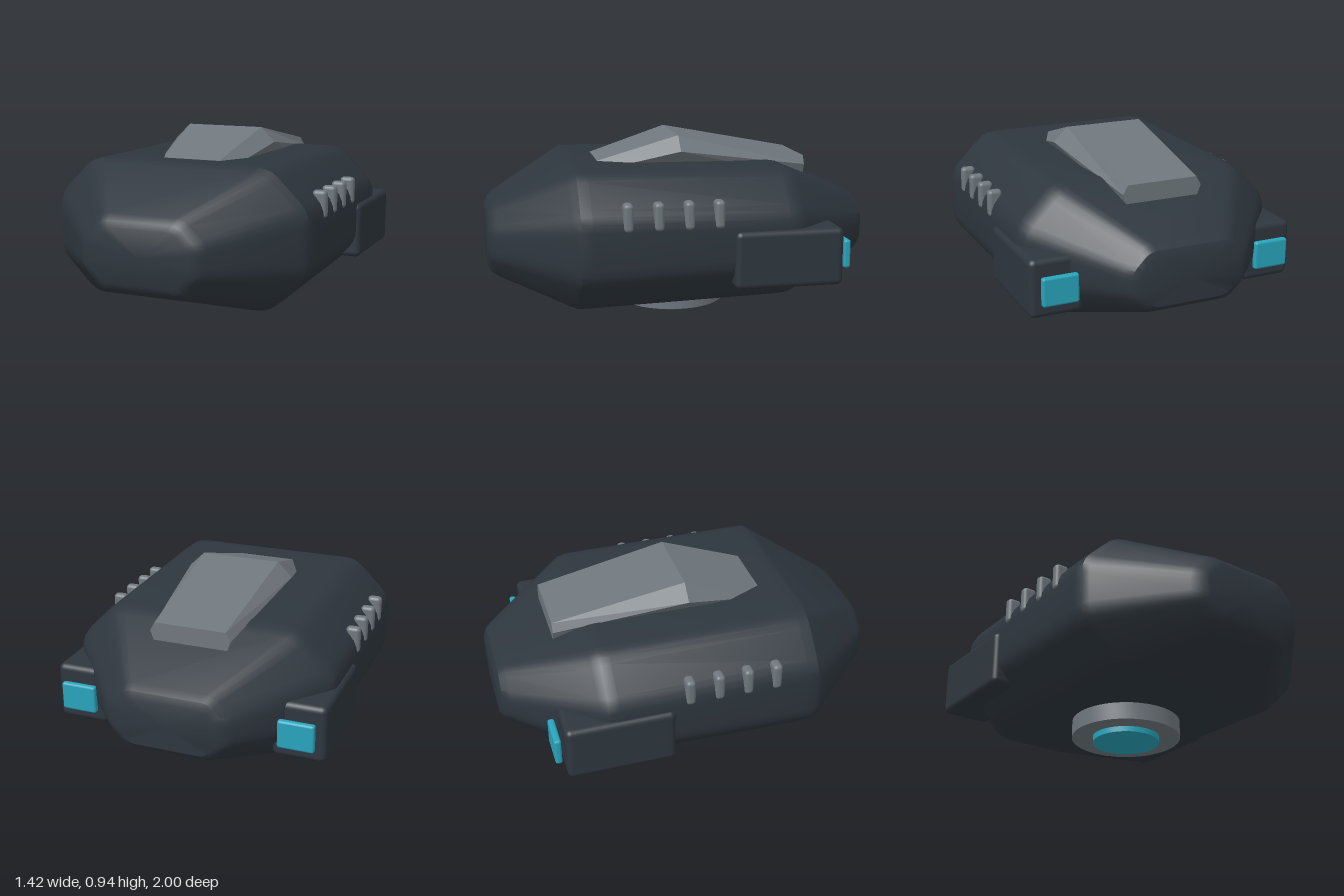
import * as THREE from 'three';
import { toCreasedNormals } from 'three/addons/utils/BufferGeometryUtils.js';
import { RoundedBoxGeometry } from 'three/addons/geometries/RoundedBoxGeometry.js';

// Skin a list of closed sections {z, pts} running from front to back, capped at both ends.
// Points run counter-clockwise as seen from the front.
function loft(sections) {
  const pos = [], idx = [], n = sections[0].pts.length;
  for (const s of sections) for (const [x, y] of s.pts) pos.push(x, y, s.z);
  for (let i = 0; i < sections.length - 1; i++) {
    for (let j = 0; j < n; j++) {
      const k = (j + 1) % n, a = i * n + j, b = i * n + k;
      idx.push(a, a + n, b, b, a + n, b + n);
    }
  }
  [0, sections.length - 1].forEach((s, end) => {
    const c = pos.length / 3, pts = sections[s].pts;
    pos.push(0, pts.reduce((t, p) => t + p[1], 0) / n, sections[s].z);
    for (let j = 0; j < n; j++) {
      const a = s * n + j, b = s * n + (j + 1) % n;
      if (end) idx.push(c, b, a); else idx.push(c, a, b);
    }
  });
  const g = new THREE.BufferGeometry();
  g.setAttribute('position', new THREE.Float32BufferAttribute(pos, 3));
  g.setIndex(idx);
  return g;
}

// Chamfered rectangle whose eight corners are softened by a short curve
function hullSection(z, w, y0, y1, c, r) {
  const oct = [[w, y0 + c], [w, y1 - c], [w - c, y1], [c - w, y1],
    [-w, y1 - c], [-w, y0 + c], [c - w, y0], [w - c, y0]].map(p => new THREE.Vector2(...p));
  const pts = [];
  oct.forEach((v, i) => {
    const toward = o => o.clone().sub(v).setLength(r).add(v);
    const a = toward(oct[(i + 7) % 8]), b = toward(oct[(i + 1) % 8]);
    const curve = new THREE.QuadraticBezierCurve(a, v, b);
    for (const p of curve.getPoints(3)) pts.push([p.x, p.y]);
  });
  return { z, pts };
}

// Hexagonal section of the top fin: narrow top, wide shoulder, narrow foot
function finSection(z, [topW, topY], [midW, midY], [footW, footY]) {
  return { z, pts: [[footW, footY], [midW, midY], [topW, topY],
    [-topW, topY], [-midW, midY], [-footW, footY]] };
}

export function createModel() {
  const dark = new THREE.MeshStandardMaterial({ color: 0x2e363e });
  dark.name = 'dark slate';
  const grey = new THREE.MeshStandardMaterial({ color: 0x6f777d });
  grey.name = 'grey metal';
  const teal = new THREE.MeshStandardMaterial({ color: 0x28a4bb });
  teal.name = 'teal glow';

  const model = new THREE.Group();
  model.name = 'device';
  const add = (name, geometry, material, x = 0, y = 0, z = 0) => {
    const mesh = new THREE.Mesh(geometry, material);
    mesh.name = name;
    mesh.position.set(x, y, z);
    model.add(mesh);
    return mesh;
  };

  // Main hull with tapered nose and tail
  const hull = loft([
    hullSection(1.0, 0.26, 0.29, 0.56, 0.08, 0.03),
    hullSection(0.985, 0.3, 0.26, 0.59, 0.1, 0.035),
    hullSection(0.95, 0.335, 0.235, 0.62, 0.12, 0.04),
    hullSection(0.6, 0.665, 0.12, 0.797, 0.2, 0.06),
    hullSection(0.565, 0.685, 0.11, 0.815, 0.2, 0.06),
    hullSection(0.51, 0.69, 0.111, 0.815, 0.2, 0.06),
    hullSection(-0.47, 0.69, 0.134, 0.805, 0.2, 0.06),
    hullSection(-0.52, 0.685, 0.137, 0.797, 0.2, 0.06),
    hullSection(-0.56, 0.66, 0.15, 0.778, 0.19, 0.06),
    hullSection(-0.95, 0.335, 0.27, 0.61, 0.11, 0.04),
    hullSection(-0.985, 0.3, 0.29, 0.585, 0.09, 0.035),
    hullSection(-1.0, 0.26, 0.31, 0.55, 0.07, 0.03),
  ]);
  add('hull', toCreasedNormals(hull, 0.5), dark);

  // Faceted fin on top
  const fin = loft([
    finSection(0.42, [0.155, 0.815], [0.2, 0.77], [0.16, 0.7]),
    finSection(0, [0.21, 0.945], [0.287, 0.87], [0.21, 0.77]),
    finSection(-0.69, [0.185, 0.815], [0.21, 0.77], [0.185, 0.7]),
  ]);
  add('topFin', toCreasedNormals(fin, 0.02), grey);

  // Round sensor underneath
  const ring = new THREE.LatheGeometry([[0.17, 0.04], [0.185, 0.025], [0.2, 0.02], [0.275, 0.02],
    [0.287, 0.025], [0.287, 0.115], [0, 0.115]].map(p => new THREE.Vector2(...p)), 48);
  add('sensorRing', toCreasedNormals(ring, 0.6), grey);
  add('sensorLens', new THREE.CylinderGeometry(0.175, 0.175, 0.045, 48), teal, 0, 0.0225, 0);

  // Mirrored side parts
  for (const [side, s] of [['left', 1], ['right', -1]]) {
    add(side + 'Pod', new RoundedBoxGeometry(0.27, 0.295, 0.555, 3, 0.03), dark, s * 0.575, 0.383, -0.4675);
    add(side + 'Thruster', new RoundedBoxGeometry(0.185, 0.145, 0.035, 2, 0.012), teal, s * 0.573, 0.383, -0.779);
    for (let i = 0; i < 4; i++) {
      add(side + 'Vent' + (i + 1), new RoundedBoxGeometry(0.075, 0.14, 0.05, 3, 0.02), grey,
        s * 0.661, 0.62, 0.338 - i * 0.15);
    }
  }
  return model;
}
